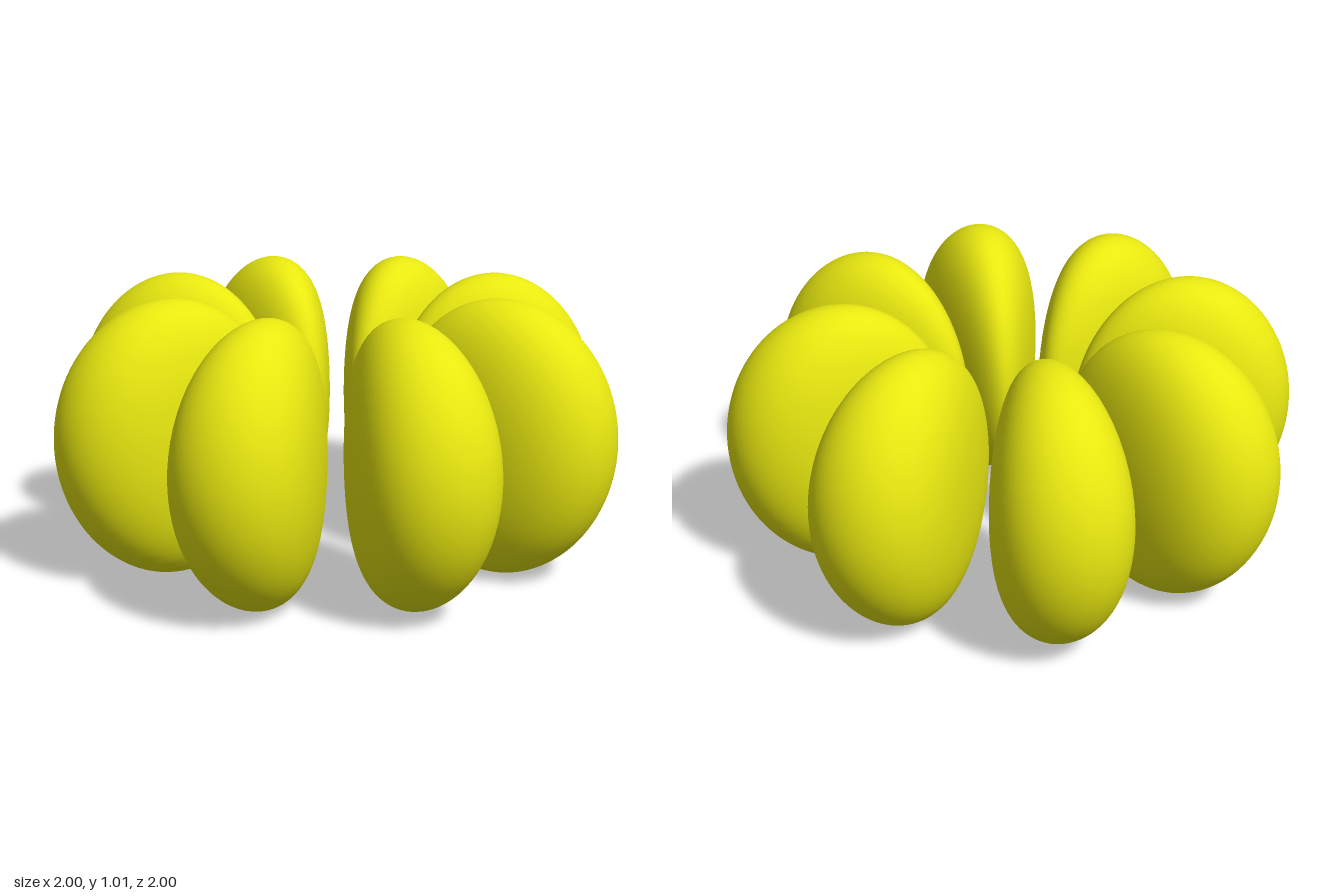
import * as THREE from 'three';
import { mergeVertices } from 'three/addons/utils/BufferGeometryUtils.js';

const INNER = 0.222, OUTER = 1.06;   // radial ends of a lobe on its axis
const CENTRE = 0.68;                 // point inside the lobe the surface is cast from
const POWER = 5;
const DECAY = POWER * Math.log(OUTER / INNER) / (OUTER - INNER);
const LEVEL = POWER * Math.log(OUTER) - DECAY * OUTER;

// Field of an eight-lobed orbital with the lobe along +x; positive inside the lobe
function field(x, y, z) {
  const s = Math.hypot(x, z), r = Math.hypot(s, y);
  const phi = Math.atan2(z, x);
  if (s < 1e-6 || Math.abs(phi) >= Math.PI / 8) return -1;
  return 4 * Math.log(s / r) + POWER * Math.log(r) - DECAY * r
    + Math.log(Math.cos(4 * phi)) - LEVEL;
}

// Sphere whose vertices are pushed out to the zero level of the field
function lobeGeometry() {
  let geo = new THREE.SphereGeometry(1, 64, 48).rotateZ(-Math.PI / 2);
  geo.deleteAttribute('uv');
  geo.deleteAttribute('normal');
  geo = mergeVertices(geo, 1e-5);
  const p = geo.attributes.position;
  const d = new THREE.Vector3();
  for (let i = 0; i < p.count; i++) {
    // start from thin directions so the broad sides are evenly sampled
    d.fromBufferAttribute(p, i).multiply(new THREE.Vector3(0.42, 0.5, 0.22)).normalize();
    let lo = 0, hi = 0.9;
    for (let k = 0; k < 40; k++) {
      const t = (lo + hi) / 2;
      if (field(CENTRE + d.x * t, d.y * t, d.z * t) > 0) lo = t; else hi = t;
    }
    p.setXYZ(i, CENTRE + d.x * lo, d.y * lo, d.z * lo);
  }
  geo.computeVertexNormals();
  geo.computeBoundingBox();
  return geo;
}

export function createModel() {
  const group = new THREE.Group();
  group.name = 'lobeRing';
  const geo = lobeGeometry();
  const material = new THREE.MeshStandardMaterial({ color: 0xe8e810 });

  // Eight equal lobes around the vertical axis
  for (let i = 0; i < 8; i++) {
    const lobe = new THREE.Mesh(geo, material);
    lobe.name = `lobe${i + 1}`;
    lobe.rotation.y = (i + 0.5) * Math.PI / 4;
    lobe.position.y = -geo.boundingBox.min.y;
    group.add(lobe);
  }
  return group;
}
